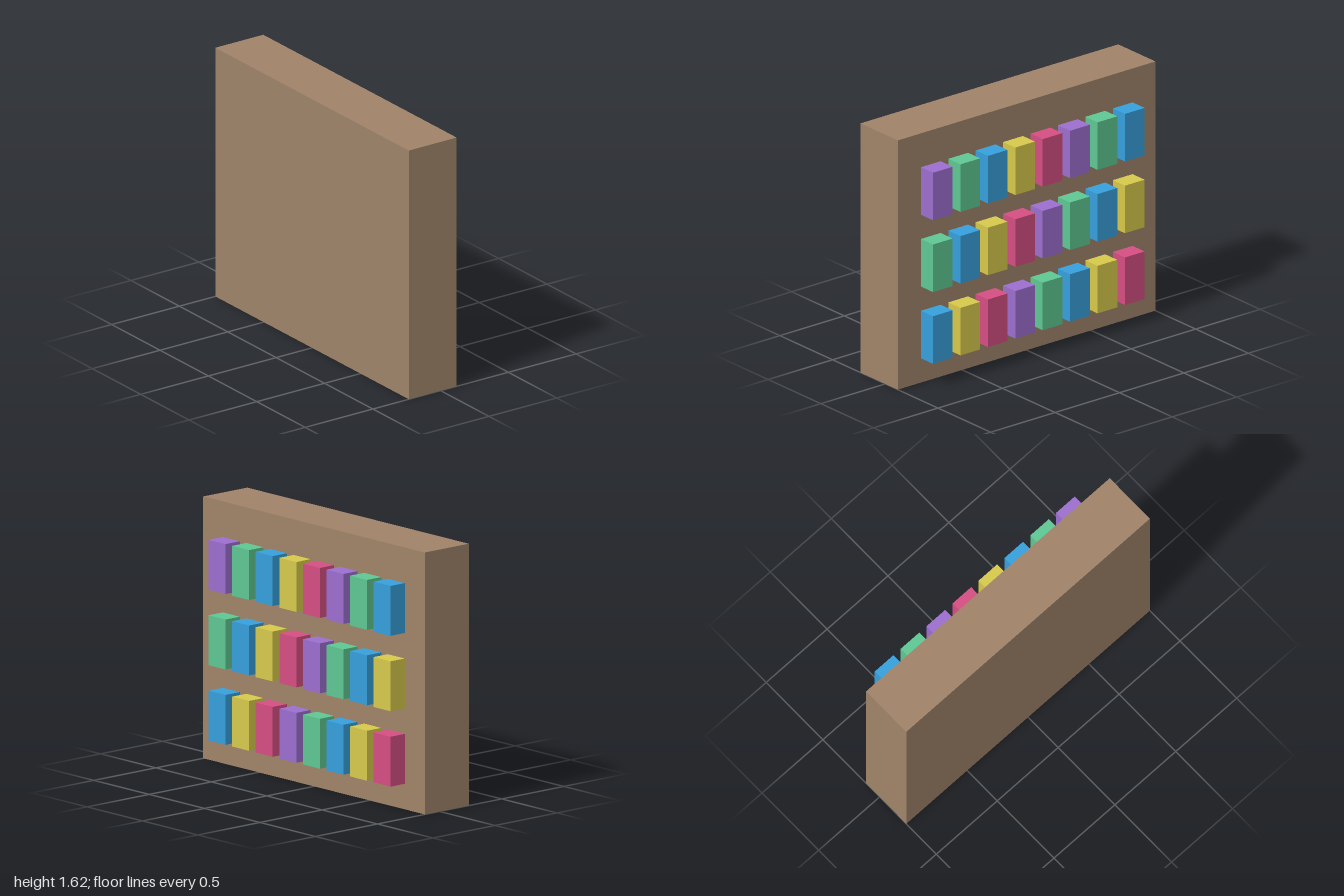
import * as THREE from 'three';

export function createModel() {
  const model = new THREE.Group();
  model.name = 'bookshelf';
  const material = (color) => new THREE.MeshStandardMaterial({ color });

  // Solid case, with its plain face to the front
  const shelf = new THREE.Mesh(new THREE.BoxGeometry(2, 1.615, 0.354), material(0xa08469));
  shelf.name = 'case';
  shelf.position.set(0, 0.8075, 0.058);
  model.add(shelf);

  // Three rows of eight books on the back; colours shift by one each row
  const colors = [0x9d6fd0, 0x5fc893, 0x37a0dc, 0xd8ca4c, 0xd64f83].map(material);
  const bookGeometry = new THREE.BoxGeometry(0.153, 0.308, 0.115);
  const books = new THREE.Group();
  books.name = 'books';
  for (let row = 0; row < 3; row++) {
    for (let col = 0; col < 8; col++) {
      const book = new THREE.Mesh(bookGeometry, colors[(row + col) % colors.length]);
      book.name = `book${row + 1}_${col + 1}`;
      book.position.set(0.745 - col * 0.2128, 1.242 - row * 0.465, -0.1775);
      books.add(book);
    }
  }
  model.add(books);
  return model;
}
